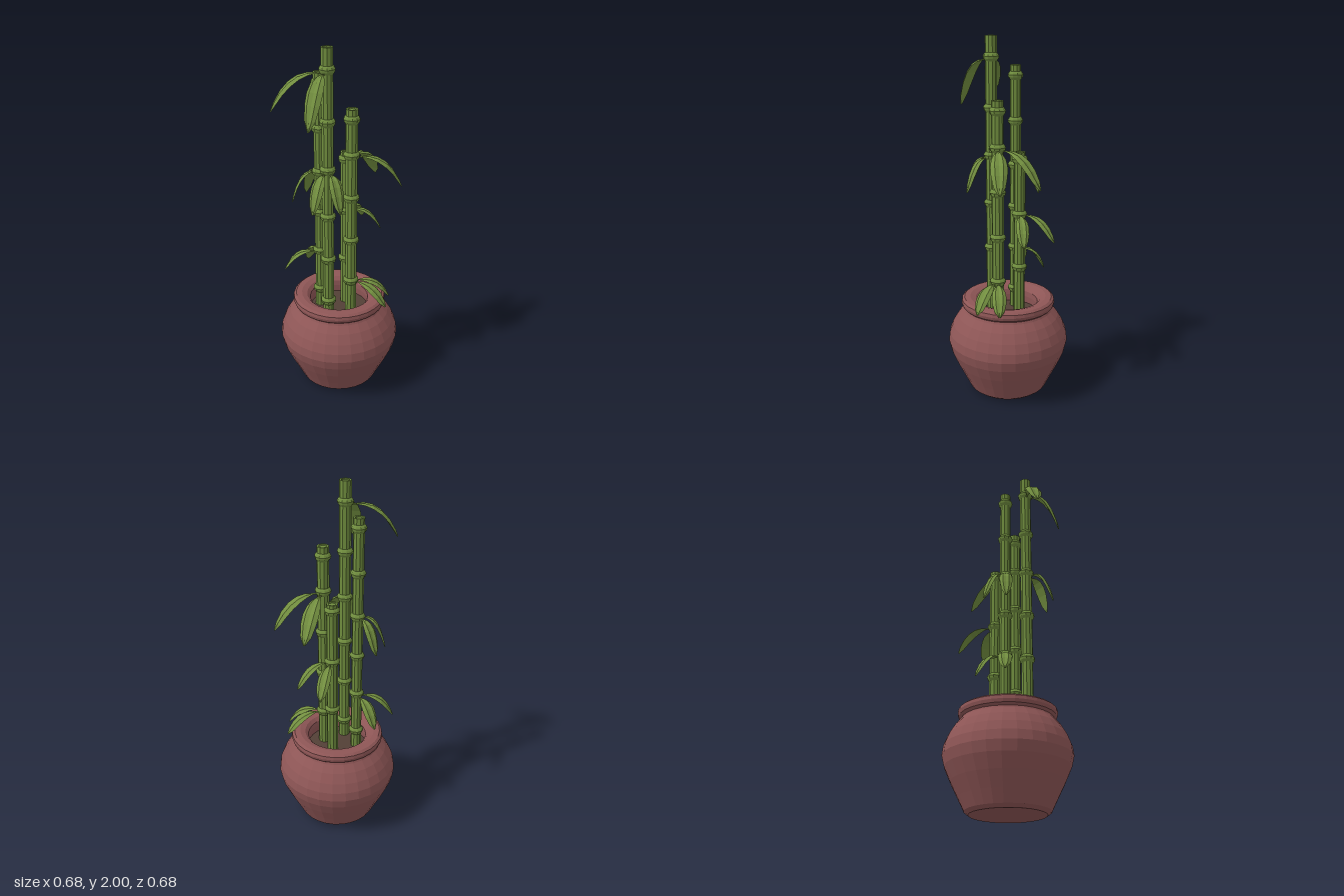
import * as THREE from 'three';

const flat = (name, color) => {
  const m = new THREE.MeshStandardMaterial({ color, flatShading: true });
  m.name = name;
  return m;
};

function lathe(name, profile, sides, material) {
  const pts = profile.map(([r, y]) => new THREE.Vector2(r, y));
  const mesh = new THREE.Mesh(new THREE.LatheGeometry(pts, sides), material);
  mesh.name = name;
  return mesh;
}

// Puffy folded leaf: a closed cross-section swept along a drooping arc
function leafGeometry(base, tip, width) {
  const ctrl = base.clone().lerp(tip, 0.62);
  ctrl.y = base.y + 0.03;
  const path = new THREE.QuadraticBezierCurve3(base, ctrl, tip);
  const side = new THREE.Vector3(-(tip.z - base.z), 0, tip.x - base.x).normalize();
  // half-width along the leaf, from stem to rounded tip
  const widths = [0.09, 0.13, 0.55, 0.86, 1, 0.95, 0.68, 0.12];
  const stations = [0, 0.1, 0.24, 0.4, 0.57, 0.74, 0.9, 1];
  // across, up: edge, blade crown, midrib groove, crown, edge, keel
  const section = [[-1, -0.2], [-0.5, 0.16], [0, 0.05], [0.5, 0.16], [1, -0.2], [0, -0.22]];
  const n = section.length, pos = [], index = [];
  stations.forEach((t, i) => {
    const p = path.getPoint(t);
    const up = new THREE.Vector3().crossVectors(side, path.getTangent(t)).normalize();
    if (up.y < 0) up.negate();
    const w = widths[i] * width / 2;
    const lift = Math.max(w, 0.012);
    for (const [a, u] of section) {
      const v = p.clone().addScaledVector(side, a * w).addScaledVector(up, u * lift);
      pos.push(v.x, v.y, v.z);
    }
  });
  for (let i = 0; i < stations.length - 1; i++) {
    for (let j = 0; j < n; j++) {
      const a = i * n + j, b = i * n + (j + 1) % n;
      index.push(a, a + n, b, b, a + n, b + n);
    }
  }
  const end = (stations.length - 1) * n;
  for (let j = 1; j < n - 1; j++) {
    index.push(0, j, j + 1, end, end + j + 1, end + j);
  }
  const g = new THREE.BufferGeometry();
  g.setAttribute('position', new THREE.Float32BufferAttribute(pos, 3));
  g.setIndex(index);
  g.computeVertexNormals();
  return g;
}

const SOIL_Y = 0.46;

// Each stalk: position, height, radius, node heights, leaves [node height, tip x, y, z, width]
const STALKS = [
  { x: -0.105, z: 0.04, top: 2, r: 0.032, nodes: [1.89, 1.62, 1.36, 1.09, 0.83, 0.565],
    leaves: [[1.87, -0.34, 1.68, -0.12, 0.09], [1.87, -0.285, 1.625, 0.125, 0.09],
      [1.34, -0.25, 1.16, 0.1, 0.075], [1.34, -0.13, 1.16, 0.185, 0.075]] },
  { x: -0.065, z: -0.09, top: 1.845, r: 0.03, nodes: [1.79, 1.545, 1.3, 1.06, 0.82, 0.57],
    leaves: [[1.29, -0.175, 1.11, -0.195, 0.07], [1.29, -0.05, 1.12, -0.24, 0.07],
      [0.8, -0.21, 0.67, -0.24, 0.075], [0.8, -0.025, 0.67, -0.265, 0.075]] },
  { x: 0.022, z: 0.08, top: 1.675, r: 0.033, nodes: [1.62, 1.425, 1.18, 0.925, 0.67],
    leaves: [[1.41, 0.275, 1.23, -0.025, 0.09], [1.41, 0.26, 1.23, 0.215, 0.09],
      [0.66, 0.12, 0.545, 0.275, 0.08], [0.66, 0.215, 0.545, 0.19, 0.08]] },
  { x: 0.07, z: -0.03, top: 1.4, r: 0.031, nodes: [1.36, 1.055, 0.75],
    leaves: [[1.05, 0.265, 0.925, -0.125, 0.07], [1.05, 0.25, 0.92, 0.06, 0.07]] },
];

export function createModel() {
  const model = new THREE.Group();
  model.name = 'pottedBamboo';
  const clay = flat('clay', 0x8e5656);
  const earth = flat('earth', 0x523f36);
  const green = flat('bambooGreen', 0x6f8c3e);
  const leafGreen = flat('leafGreen', 0x738f40);
  leafGreen.side = THREE.DoubleSide;

  // Round-bellied pot with a rolled rim and an inner wall
  model.add(lathe('pot', [
    [0, 0], [0.2, 0.005], [0.222, 0.022], [0.255, 0.09], [0.295, 0.17], [0.328, 0.245],
    [0.341, 0.3], [0.335, 0.35], [0.315, 0.4], [0.285, 0.45], [0.252, 0.488], [0.246, 0.5],
    [0.26, 0.512], [0.265, 0.53], [0.262, 0.548], [0.248, 0.559], [0.215, 0.56],
    [0.185, 0.55], [0.167, 0.53], [0.164, 0.5], [0.168, 0.44],
  ], 28, clay));

  // Soil disc inside the pot
  const soil = new THREE.Mesh(new THREE.CircleGeometry(0.17, 28), earth);
  soil.name = 'soil';
  soil.rotation.x = -Math.PI / 2;
  soil.position.y = SOIL_Y;
  model.add(soil);

  for (const { x, z, top, r, nodes, leaves } of STALKS) {
    const stalk = new THREE.Group();
    stalk.name = 'stalk';
    stalk.position.set(x, 0, z);
    // Cane with a slightly recessed cut end
    stalk.add(lathe('cane', [[r, SOIL_Y - 0.01], [r, top], [r * 0.68, top],
      [r * 0.62, top - 0.006], [0, top - 0.006]], 10, green));
    // Swollen nodes
    for (const y of nodes) {
      const node = lathe('node', [[r * 0.98, -0.024], [r + 0.009, -0.01],
        [r + 0.012, 0.003], [r + 0.007, 0.013], [r * 0.98, 0.022]], 10, green);
      node.position.y = y;
      stalk.add(node);
    }
    // Leaves growing outward from the nodes
    for (const [y, tx, ty, tz, width] of leaves) {
      const tip = new THREE.Vector3(tx - x, ty, tz - z);
      const out = new THREE.Vector3(tip.x, 0, tip.z).setLength(r * 0.8);
      const leaf = new THREE.Mesh(leafGeometry(out.setY(y), tip, width), leafGreen);
      leaf.name = 'leaf';
      stalk.add(leaf);
    }
    model.add(stalk);
  }
  return model;
}
